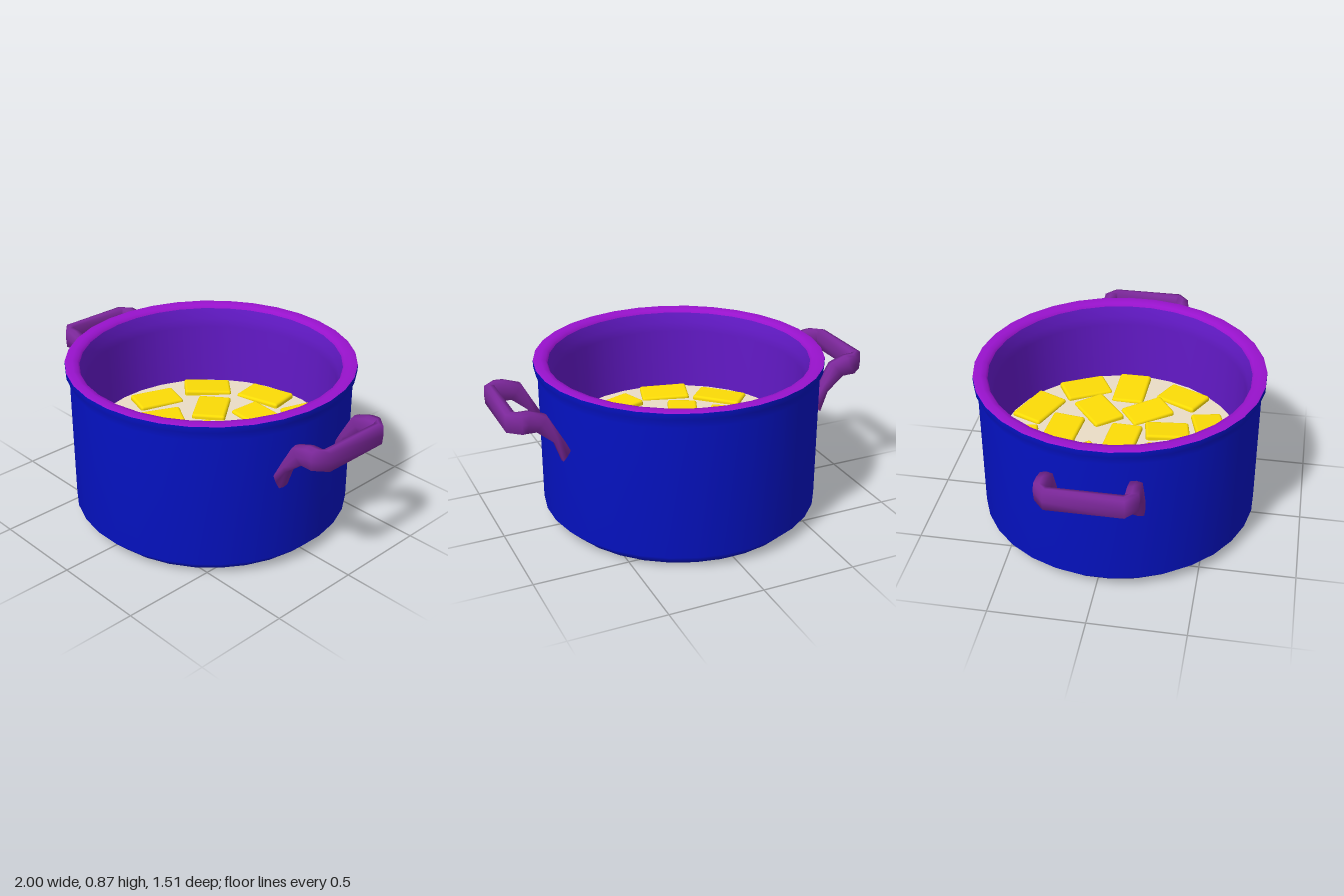
import * as THREE from 'three';
import { RoundedBoxGeometry } from 'three/addons/geometries/RoundedBoxGeometry.js';

const SIDES = 32;
const STEP = Math.PI / SIDES;
const mat = (color) => new THREE.MeshStandardMaterial({ color });

function part(name, geometry, material) {
  const mesh = new THREE.Mesh(geometry, material);
  mesh.name = name;
  return mesh;
}

// Turned shape whose flats (not corners) face the axes; radii are measured to the flats
function turned(profile) {
  const points = profile.map(([r, y]) => new THREE.Vector2(r / Math.cos(STEP), y));
  return new THREE.LatheGeometry(points, SIDES, STEP);
}

// Half of a handle: bottom and top [x, y], sideways half width [x, z], middle z
const HALF_HANDLE = [
  { bottom: [0.735, 0.49], top: [0.69, 0.55], across: [0, 0.033], z: 0.213 },
  { bottom: [0.773, 0.6], top: [0.745, 0.65], across: [0, 0.034], z: 0.213 },
  { bottom: [0.865, 0.675], top: [0.8, 0.752], across: [0, 0.034], z: 0.213 },
  { bottom: [0.91, 0.675], top: [0.885, 0.783], across: [0, 0.034], z: 0.213 },
  { bottom: [0.938, 0.675], top: [0.938, 0.785], across: [-0.007, 0.035], z: 0.214 },
  { bottom: [0.973, 0.675], top: [0.973, 0.785], across: [0.028, 0.008], z: 0.182 },
];

function handleGeometry() {
  const mirrored = HALF_HANDLE.map((s) => ({ ...s, z: -s.z, across: [s.across[0], -s.across[1]] }));
  const sections = [...HALF_HANDLE, ...mirrored.reverse()];
  // The inner-to-outer direction stays consistent along the whole path
  const n = 8;
  const positions = [];
  const index = [];
  for (const { bottom, top, across, z } of sections) {
    for (let j = 0; j < n; j++) {
      const a = (j / n) * Math.PI * 2;
      // Slightly squared octagon
      const k = j % 2 ? 1.25 : 1;
      const c = Math.cos(a) * k;
      const s = Math.sin(a) * k;
      positions.push(
        (bottom[0] + top[0]) / 2 + c * across[0] + (s * (top[0] - bottom[0])) / 2,
        (bottom[1] + top[1]) / 2 + (s * (top[1] - bottom[1])) / 2,
        z + c * across[1]
      );
    }
  }
  for (let i = 0; i < sections.length - 1; i++) {
    for (let j = 0; j < n; j++) {
      const a = i * n + j;
      const b = i * n + ((j + 1) % n);
      index.push(a, a + n, b, b, a + n, b + n);
    }
  }
  // End caps against the wall
  const last = (sections.length - 1) * n;
  for (let j = 1; j < n - 1; j++) {
    index.push(0, j, j + 1, last, last + j + 1, last + j);
  }
  const geometry = new THREE.BufferGeometry();
  geometry.setAttribute('position', new THREE.Float32BufferAttribute(positions, 3));
  geometry.setIndex(index);
  geometry.computeVertexNormals();
  return geometry;
}

// Floating pieces: x, z, length, width, turn in degrees
const PIECES = [
  [-0.107, -0.527, 0.275, 0.18, -10], [0.228, -0.497, 0.275, 0.18, 22],
  [-0.41, -0.357, 0.265, 0.175, -50], [0.037, -0.325, 0.265, 0.18, 6],
  [-0.208, -0.2, 0.26, 0.185, 52], [0.255, -0.163, 0.27, 0.18, -38],
  [0.467, -0.278, 0.265, 0.175, 60], [0.503, -0.017, 0.27, 0.18, 2],
  [-0.5, -0.045, 0.26, 0.17, 107], [-0.32, 0.09, 0.26, 0.17, 120],
  [0.003, 0.008, 0.265, 0.175, 5], [0.287, 0.108, 0.25, 0.175, 55],
  [-0.133, 0.242, 0.255, 0.165, 112], [0.115, 0.242, 0.24, 0.155, 80],
  [-0.41, 0.342, 0.275, 0.165, 43], [0.457, 0.285, 0.255, 0.175, 118],
  [-0.14, 0.52, 0.27, 0.17, 16], [0.18, 0.468, 0.27, 0.17, -16],
];

export function createModel() {
  const model = new THREE.Group();

  // Outer wall with bevelled foot and flared lip
  model.add(part('potBody', turned([
    [0, 0], [0.665, 0], [0.735, 0.07], [0.735, 0.78], [0.755, 0.83], [0.755, 0.862],
  ]), mat(0x0412c4)));

  // Rounded rim
  model.add(part('rim', turned([
    [0.755, 0.86], [0.745, 0.864], [0.715, 0.866], [0.69, 0.86], [0.68, 0.845],
  ]), mat(0x9812cc)));

  // Inner wall down to below the surface of the broth
  model.add(part('innerWall', turned([
    [0.68, 0.845], [0.662, 0.79], [0.657, 0.74], [0.652, 0.36],
  ]), mat(0x6219c6)));

  // Broth surface
  const broth = part('broth', new THREE.CircleGeometry(0.653 / Math.cos(STEP), SIDES, STEP), mat(0xeadcc6));
  broth.rotation.x = -Math.PI / 2;
  broth.position.y = 0.4;
  model.add(broth);

  // Floating pieces, each tipped a little
  const pieces = new THREE.Group();
  pieces.name = 'floatingPieces';
  const yellow = mat(0xfcdc06);
  PIECES.forEach(([x, z, length, width, turn], i) => {
    const piece = part('piece', new RoundedBoxGeometry(length, 0.06, width, 2, 0.015), yellow);
    piece.position.set(x, 0.39, z);
    piece.rotation.set(0.05 * Math.sin(i * 2.3), THREE.MathUtils.degToRad(-turn), 0.05 * Math.cos(i * 1.7), 'YXZ');
    pieces.add(piece);
  });
  model.add(pieces);

  // Two side handles
  const purple = mat(0x7d289c);
  const geometry = handleGeometry();
  for (const [name, angle] of [['leftHandle', 0], ['rightHandle', Math.PI]]) {
    const handle = part(name, geometry, purple);
    handle.rotation.y = angle;
    model.add(handle);
  }
  return model;
}
